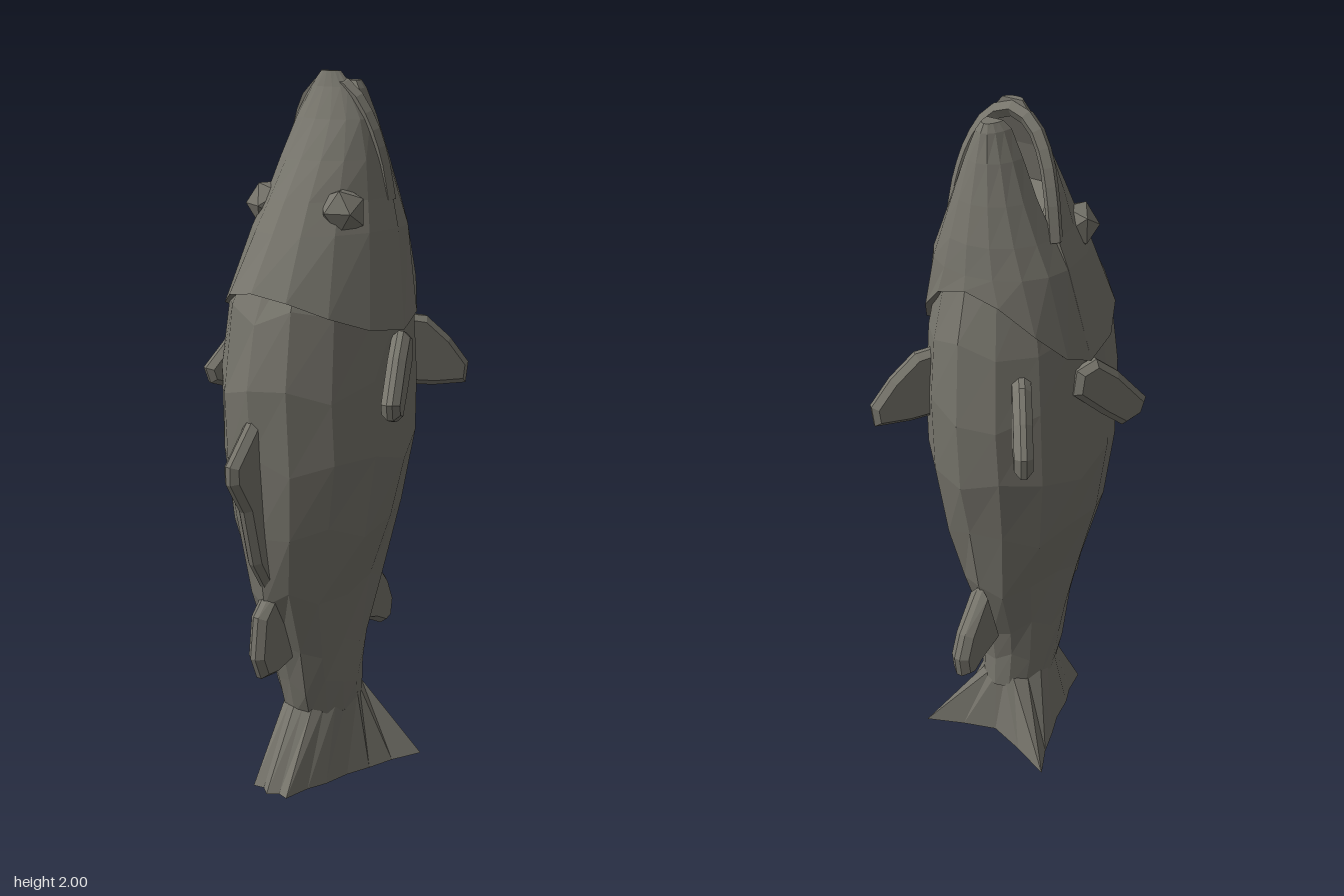
import * as THREE from 'three';

const skin = new THREE.MeshStandardMaterial({ color: 0x77756c, flatShading: true });
const thin = new THREE.MeshStandardMaterial({ color: 0x77756c, flatShading: true, side: THREE.DoubleSide });

// Local frame: +x is the belly side, -x the back, +-z the flanks, y runs tail to snout.
const TURN = 0.461;

// Skin a stack of closed rings of [x, y, z] and close both ends with fans.
function loft(rings) {
  const n = rings[0].length, pos = rings.flat(2), index = [];
  for (let i = 0; i < rings.length - 1; i++) {
    for (let j = 0; j < n; j++) {
      const k = (j + 1) % n, a = i * n + j, b = i * n + k;
      index.push(a, a + n, b, b, a + n, b + n);
    }
  }
  [0, rings.length - 1].forEach((r, end) => {
    const c = pos.length / 3;
    for (let d = 0; d < 3; d++) pos.push(rings[r].reduce((s, p) => s + p[d], 0) / n);
    for (let j = 0; j < n; j++) {
      const a = r * n + j, b = r * n + (j + 1) % n;
      index.push(c, ...(end ? [b, a] : [a, b]));
    }
  });
  const g = new THREE.BufferGeometry();
  g.setAttribute('position', new THREE.Float32BufferAttribute(pos, 3));
  g.setIndex(index);
  g.computeVertexNormals();
  return g;
}

function makeBody() {
  // y, centre, half depth (back to belly), half width
  const stations = [
    [0.16, -0.03, 0.085, 0.06], [0.2, -0.033, 0.135, 0.1], [0.3, -0.048, 0.145, 0.112],
    [0.42, -0.057, 0.168, 0.124], [0.6, -0.06, 0.237, 0.152], [0.8, -0.055, 0.272, 0.212],
    [1.0, -0.045, 0.3, 0.245], [1.2, -0.045, 0.312, 0.24], [1.4, -0.035, 0.288, 0.226],
    [1.6, -0.006, 0.214, 0.178],
  ];
  const N = 14;
  return loft(stations.map(([y, c, a, b], i) => Array.from({ length: N }, (_, j) => {
    const f = (j / N) * Math.PI * 2;
    // slight waver of the rings gives irregular scale-like facets
    const dy = i > 1 && i < 9 ? 0.025 * Math.sin(j * 2.3 + i * 1.7) : 0;
    return [c + a * Math.cos(f), y + dy, b * Math.sin(f)];
  })));
}

// One half of the head (side -1: upper jaw, +1: lower jaw); its lower rim is the gill cover.
function makeJaw(side, stations) {
  const K = 8;
  const ring = ([y, m, edge, b], isRim, scale = 1) => {
    const points = Array.from({ length: K + 1 }, (_, j) => {
      const f = (j / K - 0.5) * Math.PI + (side < 0 ? Math.PI : 0);
      const c = Math.cos(f);
      const rim = 1.34 + (c < 0 ? 0.12 : 0.22) * c * c;
      return [m + Math.abs(edge - m) * c * scale, isRim ? rim : y, b * Math.sin(f) * scale];
    });
    // hollow palate between the lips
    const hollow = y > 1.7 && y < 1.95 ? 0.5 * (edge - m) : 0;
    for (const t of [0.6, -0.6]) points.push([m + hollow, isRim ? 1.34 : y, side * t * b * scale]);
    return points;
  };
  return loft([ring(stations[0], true, 0.86), ring(stations[0], true),
    ...stations.slice(1).map((s) => ring(s, false))]);
}

// Raised lip round the edge of the upper jaw
function makeLip() {
  const half = [[0.046, 1.67, 0.158], [0.036, 1.78, 0.14], [0.02, 1.88, 0.108], [0.008, 1.95, 0.06]];
  const mirrored = half.map(([x, y, z]) => [x, y, -z]).reverse();
  const points = [...half, [0.003, 1.975, 0], ...mirrored].map((p) => new THREE.Vector3(...p));
  return new THREE.TubeGeometry(new THREE.CatmullRomCurve3(points), 16, 0.021, 5);
}

// Flat fin: outline in (distance out, y), standing on (x, z) and pointing along angle.
function makeFin(outline, thickness, x = 0, z = 0, angle = 0) {
  const shape = new THREE.Shape(outline.map(([u, y]) => new THREE.Vector2(u, y)));
  const bevel = thickness * 0.35;
  const g = new THREE.ExtrudeGeometry(shape, {
    depth: thickness - 2 * bevel, bevelEnabled: true, bevelThickness: bevel,
    bevelSize: 0.016, bevelOffset: -0.016, bevelSegments: 1,
  });
  g.translate(0, 0, bevel - thickness / 2);
  g.rotateY(-angle);
  g.translate(x, 0, z);
  return g;
}

// Tail: a ribbed, hollow three-lobed skirt, one lobe on the back and two by the belly.
function makeTail() {
  const top = [[-0.17, 0], [-0.15, 0.05], [-0.09, 0.09], [0, 0.1], [0.08, 0.055], [0.095, 0]];
  const low = [[-0.3, 0], [-0.285, 0.06], [-0.15, 0.1], [0, 0.145], [0.165, 0.215], [0.1, 0]];
  const at = (list, t) => {
    const i = Math.min(4, Math.floor(t)), f = t - i;
    return [0, 1].map((d) => list[i][d] * (1 - f) + list[i + 1][d] * f);
  };
  const rings = [];
  for (let q = -10; q <= 10; q++) {
    const t = Math.abs(q) / 2, s = Math.sign(q);
    const [tx, tz] = at(top, t), [lx, lz] = at(low, t);
    const k = q % 2 ? 0.95 : 1;
    const rise = t > 4 ? 0.02 * (t - 4) : 0;
    rings.push([
      [tx, 0.23, s * tz],
      [lx * k, rise, s * lz * k],
      [lx * 0.82 - 0.005, rise, s * lz * 0.82],
      [tx * 0.6, 0.2, s * tz * 0.6],
    ]);
  }
  return loft(rings);
}

export function createModel() {
  const model = new THREE.Group();
  model.name = 'fish';
  const fish = new THREE.Group();
  fish.name = 'uprightFish';
  fish.rotation.y = TURN;
  model.add(fish);
  const add = (name, geometry, material = skin) => {
    const mesh = new THREE.Mesh(geometry, material);
    mesh.name = name;
    fish.add(mesh);
    return mesh;
  };

  add('body', makeBody());

  // Head halves: y, mouth plane, outer edge, half width
  add('upperHead', makeJaw(-1, [
    [1.4, 0, -0.335, 0.247], [1.6, 0.04, -0.245, 0.196], [1.68, 0.05, -0.195, 0.17],
    [1.78, 0.038, -0.128, 0.148], [1.88, 0.022, -0.066, 0.115],
    [1.96, 0.01, -0.028, 0.065], [2.0, 0.006, -0.016, 0.03],
  ]));
  add('upperLip', makeLip(), thin);
  add('lowerHead', makeJaw(1, [
    [1.4, 0, 0.223, 0.247], [1.6, 0.04, 0.216, 0.195], [1.68, 0.05, 0.207, 0.158],
    [1.78, 0.064, 0.187, 0.115], [1.88, 0.068, 0.163, 0.075],
    [1.95, 0.07, 0.142, 0.042], [1.97, 0.08, 0.128, 0.025],
  ]));

  // Fins on the centre line
  add('dorsalFin', makeFin([[-0.28, 1.15], [-0.35, 1.12], [-0.437, 1.02], [-0.437, 0.97],
    [-0.385, 0.88], [-0.35, 0.72], [-0.28, 0.6], [-0.2, 0.7]], 0.05));
  add('rearDorsalFin', makeFin([[-0.24, 0.66], [-0.335, 0.56], [-0.35, 0.44],
    [-0.325, 0.375], [-0.27, 0.37], [-0.16, 0.4]], 0.055));
  add('analFin', makeFin([[0.1, 0.4], [0.19, 0.37], [0.24, 0.343], [0.278, 0.355],
    [0.288, 0.42], [0.26, 0.49], [0.17, 0.6]], 0.06));

  // Paired fins and eyes
  for (const s of [1, -1]) {
    const side = s > 0 ? 'left' : 'right';
    add(side + 'PectoralFin', makeFin([[-0.04, 1.25], [-0.03, 1.32], [0.03, 1.34], [0.1, 1.285],
      [0.195, 1.18], [0.18, 1.135], [0.12, 1.115], [0.05, 1.17]], 0.05,
    0.01, s * 0.235, s * (Math.PI - 0.44)));
    add(side + 'PelvicFin', makeFin([[-0.03, 1.14], [-0.03, 1.34], [0.03, 1.33], [0.1, 1.265],
      [0.156, 1.19], [0.149, 1.13], [0.05, 1.13]], 0.05, 0.19, s * 0.155, s * 0.64));
    const eye = add(side + 'Eye', new THREE.IcosahedronGeometry(0.066, 0));
    eye.position.set(-0.106, 1.655, s * 0.12);
    eye.rotation.y = s * 0.4;
  }

  add('tailFin', makeTail(), thin);
  return model;
}
